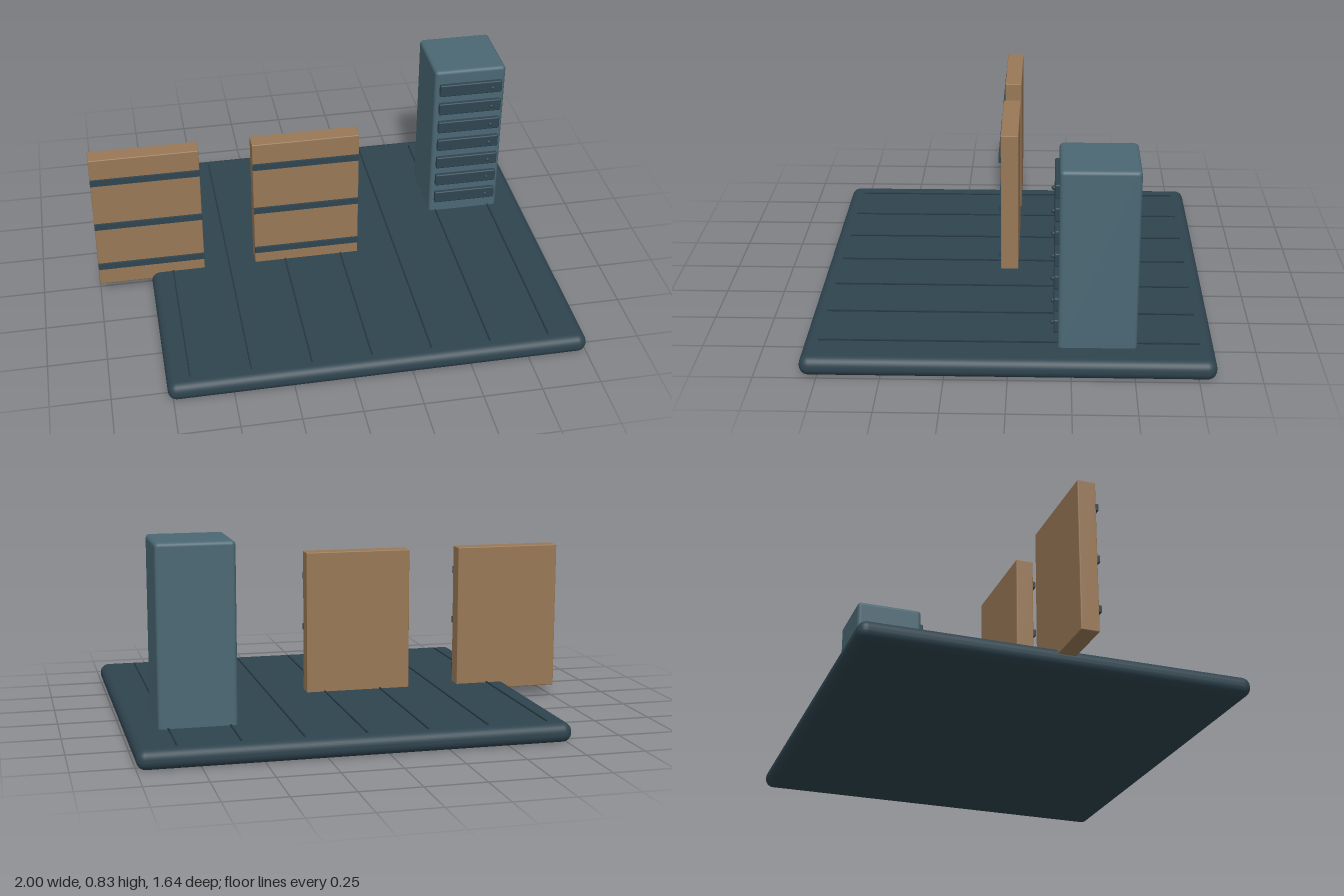
import * as THREE from 'three';
import { RoundedBoxGeometry } from 'three/addons/geometries/RoundedBoxGeometry.js';

const material = (name, color) => {
  const m = new THREE.MeshStandardMaterial({ color });
  m.name = name;
  return m;
};

export function createModel() {
  const slate = material('dark slate', 0x2f444f);
  const seamColor = material('seam slate', 0x263842);
  const steel = material('steel teal', 0x4b6874);
  const wood = material('brown wood', 0x997856);

  const model = new THREE.Group();
  model.name = 'storageRoom';

  // Box given by its min and max corners, with optionally rounded edges
  const block = (parent, name, mat, [x0, y0, z0], [x1, y1, z1], radius = 0) => {
    const size = [x1 - x0, y1 - y0, z1 - z0];
    const geometry = radius
      ? new RoundedBoxGeometry(...size, 4, radius)
      : new THREE.BoxGeometry(...size);
    const mesh = new THREE.Mesh(geometry, mat);
    mesh.name = name;
    mesh.position.set((x0 + x1) / 2, (y0 + y1) / 2, (z0 + z1) / 2);
    parent.add(mesh);
    return mesh;
  };
  const group = (name) => {
    const g = new THREE.Group();
    g.name = name;
    model.add(g);
    return g;
  };

  // Floor slab with thin plank seams
  const floor = group('floor');
  block(floor, 'floorSlab', slate, [-0.77, 0, -0.82], [1, 0.082, 0.82], 0.038);
  for (let i = 0; i < 7; i++) {
    const x = -0.675 + i * 0.2525;
    block(floor, 'floorSeam', seamColor, [x - 0.003, 0.078, -0.76], [x + 0.003, 0.087, 0.76]);
  }

  // Two wooden panels with dark cross bands on the front
  for (const x of [-1, -0.305]) {
    const panel = group('woodenPanel');
    block(panel, 'panelBoard', wood, [x, 0.053, -0.025], [x + 0.467, 0.705, 0.051], 0.004);
    for (const y of [0.152, 0.366, 0.595]) {
      block(panel, 'panelBand', slate, [x, y - 0.014, 0.05], [x + 0.467, y + 0.014, 0.061]);
    }
  }

  // Cabinet with seven drawers, each with a small knob
  const cabinet = group('cabinet');
  block(cabinet, 'cabinetBody', steel, [0.556, 0.065, -0.51], [0.88, 0.832, -0.197], 0.017);
  for (let i = 0; i < 7; i++) {
    const y = 0.165 + i * 0.096;
    block(cabinet, 'drawerFront', slate, [0.577, y - 0.029, -0.202], [0.862, y + 0.029, -0.179], 0.006);
    const knob = new THREE.Mesh(new THREE.SphereGeometry(0.009, 12, 8), slate);
    knob.name = 'drawerKnob';
    knob.position.set(0.817, y, -0.175);
    cabinet.add(knob);
  }

  return model;
}
